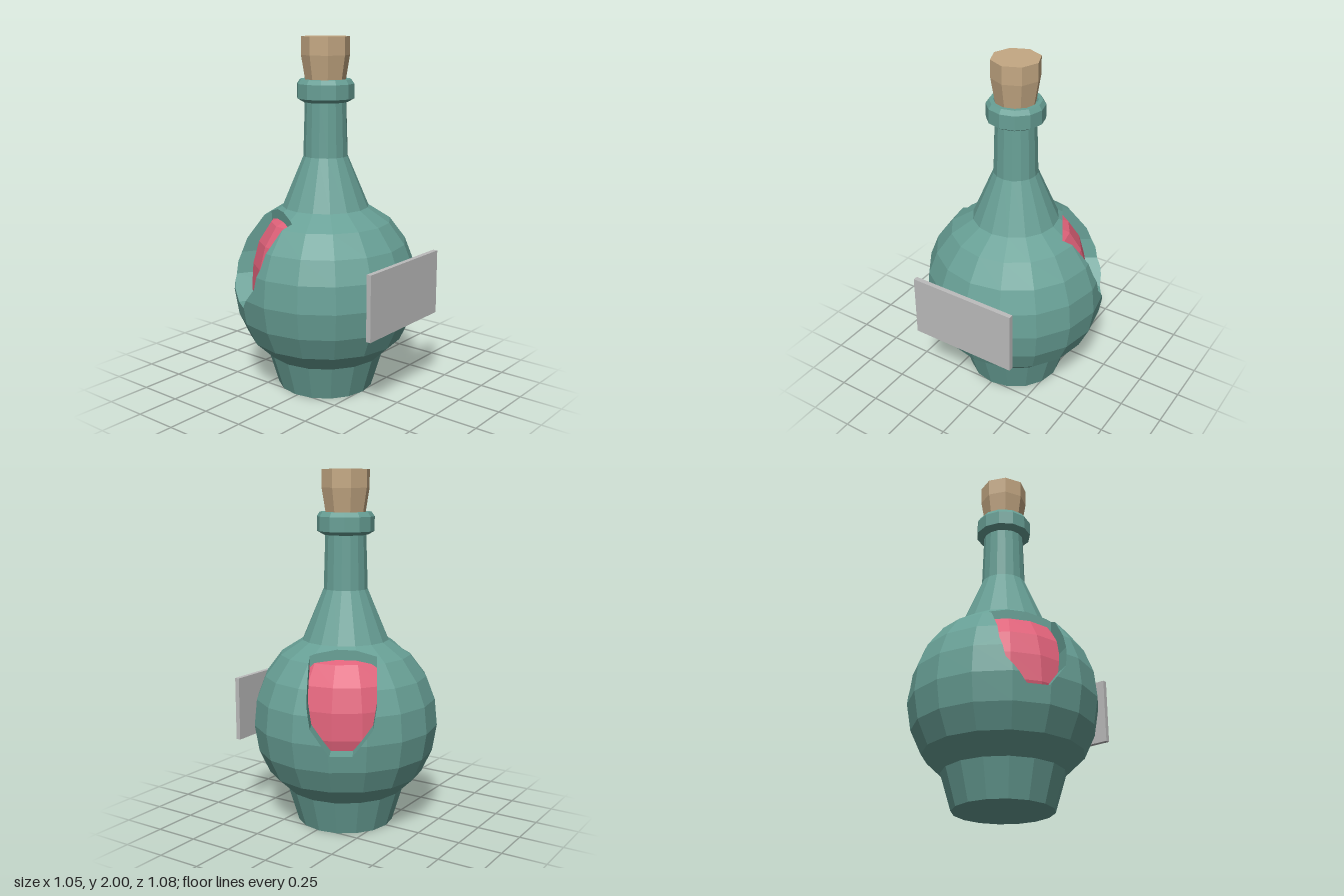
import * as THREE from 'three';

const V2 = (list) => list.map(([x, y]) => new THREE.Vector2(x, y));

function material(name, color) {
  const m = new THREE.MeshStandardMaterial({ color, flatShading: true, side: THREE.DoubleSide });
  m.name = name;
  return m;
}

function lathe(profile, sides) {
  const g = new THREE.LatheGeometry(V2(profile), sides).toNonIndexed();
  g.computeVertexNormals();
  return g;
}

// Fan-triangulated geometry from a list of convex polygons
function fromPolygons(polys) {
  const pts = [];
  for (const p of polys)
    for (let i = 1; i < p.length - 1; i++) pts.push(p[0], p[i], p[i + 1]);
  const g = new THREE.BufferGeometry().setFromPoints(pts);
  g.computeVertexNormals();
  return g;
}

// Split a convex polygon by a plane into [in front, behind]
function split(poly, plane) {
  const front = [], back = [];
  poly.forEach((a, i) => {
    const b = poly[(i + 1) % poly.length];
    const da = plane.distanceToPoint(a), db = plane.distanceToPoint(b);
    if (da >= -1e-7) front.push(a);
    if (da <= 1e-7) back.push(a);
    if ((da > 1e-7 && db < -1e-7) || (da < -1e-7 && db > 1e-7)) {
      const m = a.clone().lerp(b, da / (da - db));
      front.push(m);
      back.push(m);
    }
  });
  return [front, back];
}

// Window cutter on one side: planes facing into the opening, each with
// the direction in which its wall runs inward
function windowCutter(side) {
  const out = new THREE.Vector3(side * 0.866, 0, -0.5);
  const along = new THREE.Vector3(side * 0.5, 0, 0.866);
  const outline = [[-0.18, 1.1], [-0.185, 0.78], [-0.165, 0.66], [-0.06, 0.525],
    [0.06, 0.525], [0.165, 0.66], [0.185, 0.78], [0.18, 1.1]];
  const inward = out.clone().multiplyScalar(-0.13);
  const at = ([t, y]) => along.clone().multiplyScalar(t).setY(y);
  const cutter = [{ plane: new THREE.Plane(out, -0.264), push: new THREE.Vector3(0, -0.1, 0) }];
  for (let i = 0; i < outline.length - 1; i++) {
    const a = at(outline[i]), b = at(outline[i + 1]);
    const normal = b.clone().sub(a).cross(out).normalize();
    const plane = new THREE.Plane().setFromNormalAndCoplanarPoint(normal, a);
    if (plane.distanceToPoint(new THREE.Vector3(0, 0.8, 0)) < 0) plane.negate();
    cutter.push({ plane, push: inward });
  }
  return cutter;
}

// Remove a cutter from polygons; returns the remaining shell and the rim walls
function cutWindow(polys, cutter) {
  const shell = [], walls = [];
  for (const poly of polys) {
    let inside = poly;
    const pieces = [];
    for (const { plane } of cutter) {
      const [front, back] = split(inside, plane);
      if (back.length > 2) pieces.push(back);
      inside = front;
      if (inside.length < 3) break;
    }
    if (inside.length < 3) {
      shell.push(poly);
      continue;
    }
    shell.push(...pieces);
    inside.forEach((a, i) => {
      const b = inside[(i + 1) % inside.length];
      for (const { plane, push } of cutter)
        if (Math.abs(plane.distanceToPoint(a)) < 1e-5 && Math.abs(plane.distanceToPoint(b)) < 1e-5)
          walls.push([a, b, b.clone().add(push), a.clone().add(push)]);
    });
  }
  return { shell, walls };
}

export function createModel() {
  const glass = material('green glass', 0x68a096);
  const red = material('red liquid', 0xe0627a);
  const cork = material('cork', 0xc4a883);
  const paper = material('grey label', 0xbcbcbc);

  const model = new THREE.Group();
  model.name = 'bottle';
  const body = new THREE.Group();
  body.name = 'bottleBody';
  body.position.z = -0.015;
  model.add(body);
  const add = (parent, name, geometry, mat) => {
    const mesh = new THREE.Mesh(geometry, mat);
    mesh.name = name;
    parent.add(mesh);
    return mesh;
  };

  // Bottle shell with two windows cut into its back shoulders
  const pos = lathe([[0, 0], [0.275, 0], [0.335, 0.2], [0.44, 0.3], [0.5, 0.43],
    [0.525, 0.58], [0.51, 0.73], [0.46, 0.86], [0.37, 0.98], [0.245, 1.06],
    [0.125, 1.345], [0.115, 1.66]], 16).attributes.position;
  let polys = [];
  for (let i = 0; i < pos.count; i += 3)
    polys.push([0, 1, 2].map((k) => new THREE.Vector3().fromBufferAttribute(pos, i + k)));
  const walls = [];
  for (const side of [-1, 1]) {
    const cut = cutWindow(polys, windowCutter(side));
    polys = cut.shell;
    walls.push(...cut.walls);
  }
  add(body, 'glassShell', fromPolygons(polys), glass);
  add(body, 'windowRims', fromPolygons(walls), glass);

  // Liquid seen through the windows
  add(body, 'liquid', lathe([[0, 0.38], [0.3, 0.4], [0.4, 0.47], [0.425, 0.58],
    [0.415, 0.73], [0.38, 0.86], [0.31, 0.97], [0.2, 1.02], [0, 1.03]], 16), red);

  // Neck collar
  add(body, 'collar', lathe([[0.1, 1.645], [0.125, 1.645], [0.16, 1.665], [0.16, 1.745],
    [0.143, 1.77], [0.12, 1.77], [0.11, 1.75], [0, 1.75]], 12), glass);

  // Stopper
  add(body, 'stopper', lathe([[0, 1.7], [0.102, 1.7], [0.135, 1.9], [0.135, 2], [0, 2]], 8), cork);

  // Front label
  add(model, 'label', new THREE.BoxGeometry(0.63, 0.365, 0.027), paper).position.set(0, 0.638, 0.525);

  return model;
}
